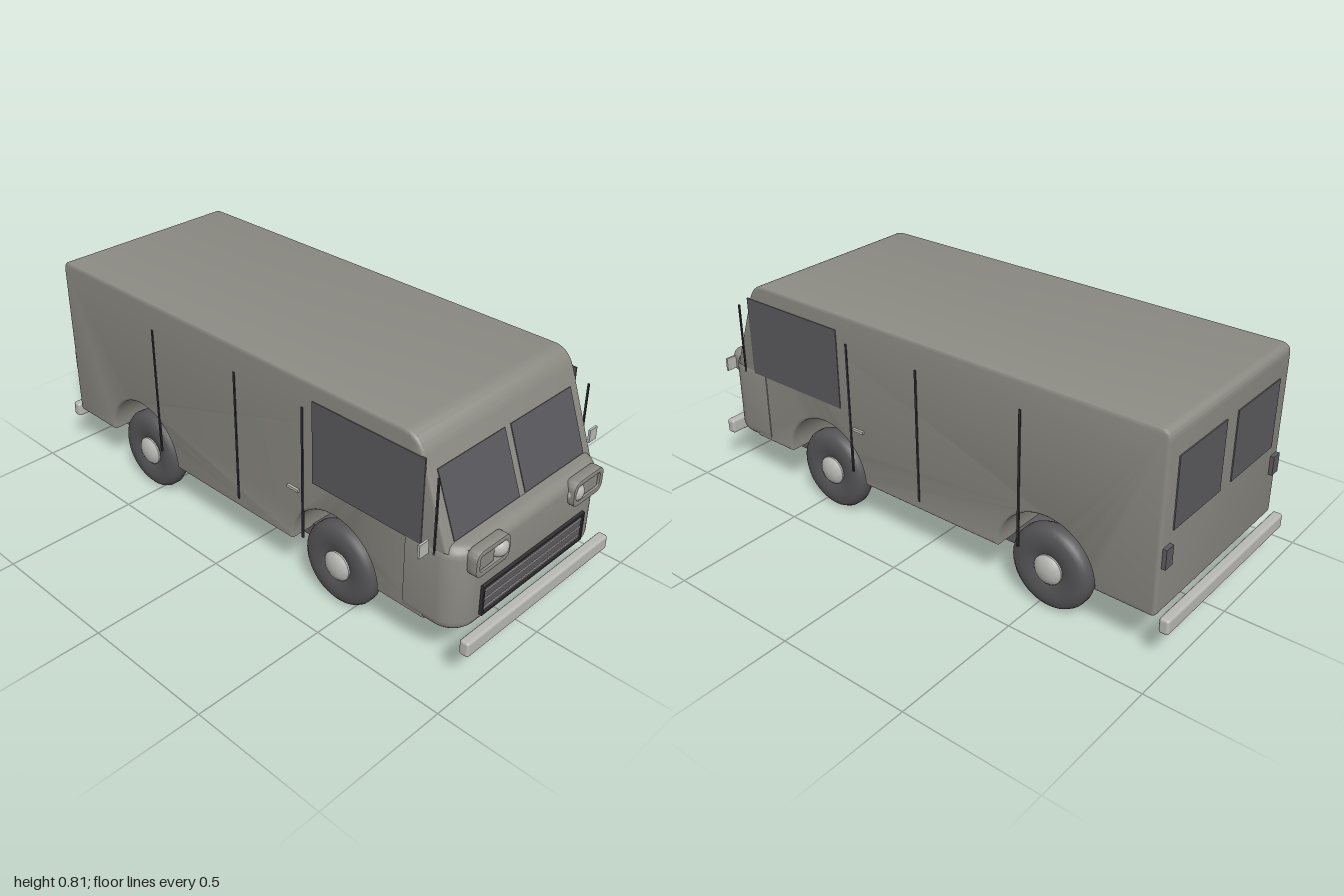
import * as THREE from 'three';
import { toCreasedNormals } from 'three/addons/utils/BufferGeometryUtils.js';
import { RoundedBoxGeometry } from 'three/addons/geometries/RoundedBoxGeometry.js';

const paint = (name, color) => {
  const m = new THREE.MeshStandardMaterial({ color });
  m.name = name;
  return m;
};

// Rounded rectangle outline centred on the origin
function roundRect(shape, w, h, r) {
  const x = w / 2, y = h / 2;
  shape.moveTo(-x + r, -y);
  shape.lineTo(x - r, -y).absarc(x - r, -y + r, r, -Math.PI / 2, 0, false);
  shape.lineTo(x, y - r).absarc(x - r, y - r, r, 0, Math.PI / 2, false);
  shape.lineTo(-x + r, y).absarc(-x + r, y - r, r, Math.PI / 2, Math.PI, false);
  shape.lineTo(-x, -y + r).absarc(-x + r, -y + r, r, Math.PI, Math.PI * 1.5, false);
  return shape;
}

export function createModel() {
  const van = new THREE.Group();
  van.name = 'van';
  const body = paint('body grey', 0x8b8a83);
  const glass = paint('dark glass', 0x5a5a5e);
  const rubber = paint('tyre rubber', 0x555557);
  const chrome = paint('pale metal', 0xb8b8b4);
  const trim = paint('chassis grey', 0x5e5b5e);
  const black = paint('seam black', 0x303033);

  const add = (name, geo, mat, x = 0, y = 0, z = 0, parent = van) => {
    const m = new THREE.Mesh(geo, mat);
    m.name = name;
    m.position.set(x, y, z);
    parent.add(m);
    return m;
  };
  const box = (name, mat, w, h, d, x, y, z) =>
    add(name, new THREE.BoxGeometry(w, h, d), mat, x, y, z);

  // Main shell: side profile with wheel arches, extruded across the width
  const axles = [-0.54, 0.44];
  const side = new THREE.Shape();
  side.moveTo(-0.93, 0.175);
  for (const x of axles) {
    side.lineTo(x - 0.19, 0.175);
    side.absarc(x, 0.175, 0.19, Math.PI, 0, true);
  }
  side.lineTo(0.82, 0.175);
  side.lineTo(0.82, 0.44);
  side.lineTo(0.895, 0.46);
  side.lineTo(0.79, 0.75);
  side.quadraticCurveTo(0.765, 0.812, 0.71, 0.812);
  side.lineTo(-0.915, 0.812);
  side.quadraticCurveTo(-0.95, 0.812, -0.95, 0.777);
  side.lineTo(-0.95, 0.195);
  side.quadraticCurveTo(-0.95, 0.175, -0.93, 0.175);
  const shell = new THREE.ExtrudeGeometry(side, {
    depth: 0.724, curveSegments: 16,
    bevelSize: 0.01, bevelThickness: 0.01, bevelOffset: -0.01, bevelSegments: 3,
  });
  shell.translate(0, 0, -0.362);
  add('bodyShell', toCreasedNormals(shell, 0.6), body);

  // Rounded nose: plan outline extruded upward
  const plan = new THREE.Shape();
  plan.moveTo(0.74, -0.375);
  plan.lineTo(0.86, -0.375);
  plan.absarc(0.86, -0.285, 0.09, -Math.PI / 2, 0, false);
  plan.absarc(0.86, 0.285, 0.09, 0, Math.PI / 2, false);
  plan.lineTo(0.74, 0.375);
  plan.closePath();
  const nose = new THREE.ExtrudeGeometry(plan, {
    depth: 0.235, curveSegments: 8,
    bevelSize: 0.04, bevelThickness: 0.04, bevelOffset: -0.04, bevelSegments: 5,
  });
  nose.rotateX(-Math.PI / 2).translate(0, 0.207, 0);
  add('nose', toCreasedNormals(nose, 0.6), body);

  // Chassis floor
  box('chassis', trim, 1.64, 0.055, 0.54, -0.03, 0.1545, 0);

  // Split windscreen, rear windows and cab side windows
  for (const s of [1, -1]) {
    const pane = box('windscreen', glass, 0.006, 0.229, 0.317, 0.847, 0.5925, s * 0.1725);
    pane.rotation.z = 0.347;
    box('rearWindow', glass, 0.006, 0.25, 0.275, -0.951, 0.585, s * 0.1725);
    box('cabWindow', glass, 0.45, 0.3, 0.006, 0.575, 0.6, s * 0.372);

    // Panel seams, handle, mirror and tail lamp
    for (const x of [-0.435, -0.01, 0.305])
      box('panelSeam', black, 0.008, 0.5, 0.006, x, 0.46, s * 0.372);
    box('cabSeam', black, 0.006, 0.27, 0.006, 0.85, 0.575, s * 0.373);
    box('doorHandle', chrome, 0.05, 0.01, 0.012, 0.265, 0.39, s * 0.375);
    box('mirror', chrome, 0.008, 0.048, 0.041, 0.855, 0.496, s * 0.4325);
    box('tailLamp', trim, 0.016, 0.07, 0.04, -0.956, 0.385, s * 0.34);
  }

  // Headlamp surrounds: rounded frame, indicator and round lamp
  const frame = roundRect(new THREE.Shape(), 0.155, 0.085, 0.025);
  frame.holes.push(roundRect(new THREE.Path(), 0.135, 0.065, 0.016));
  const frameGeo = new THREE.ExtrudeGeometry(frame, {
    depth: 0.03, curveSegments: 5, bevelSize: 0.005, bevelThickness: 0.005, bevelSegments: 2,
  });
  frameGeo.rotateY(Math.PI / 2);
  const frameSmooth = toCreasedNormals(frameGeo, 0.7);
  for (const s of [1, -1]) {
    add('headlampFrame', frameSmooth, body, 0.938, 0.432, s * 0.247);
    box('headlampBacking', trim, 0.03, 0.075, 0.145, 0.938, 0.432, s * 0.247);
    add('indicator', new RoundedBoxGeometry(0.03, 0.062, 0.075, 2, 0.008), body,
      0.952, 0.434, s * 0.272);
    add('headlamp', new THREE.SphereGeometry(0.035, 24, 16), chrome, 0.948, 0.432, s * 0.197);
  }

  // Grille: dark panel with raised border and pale slats
  box('grillePanel', trim, 0.012, 0.105, 0.525, 0.949, 0.264, 0);
  for (const s of [1, -1]) {
    box('grilleBorder', black, 0.02, 0.007, 0.532, 0.952, 0.264 + s * 0.0515, 0);
    box('grilleBorder', black, 0.02, 0.11, 0.007, 0.952, 0.264, s * 0.2625);
  }
  for (const y of [0.295, 0.262, 0.229])
    box('grilleSlat', chrome, 0.01, 0.006, 0.51, 0.953, y, 0);

  // Bumpers
  for (const s of [1, -1])
    add(s > 0 ? 'frontBumper' : 'rearBumper',
      new RoundedBoxGeometry(0.036, 0.056, 0.75, 2, 0.01), chrome, s * 0.982, 0.16, 0);

  // Wheels: lathed tyre with a domed hub, turned to face outward
  const tyreGeo = new THREE.LatheGeometry([
    [0.05, -0.041], [0.1, -0.041], [0.13, -0.038], [0.146, -0.026], [0.153, -0.012],
    [0.153, 0.012], [0.146, 0.026], [0.13, 0.038], [0.1, 0.041], [0.07, 0.037], [0.05, 0.028],
  ].map(([r, y]) => new THREE.Vector2(r, y)), 40);
  const hubGeo = new THREE.LatheGeometry([
    [0, -0.04], [0.054, -0.04], [0.054, 0.036], [0.046, 0.044], [0.03, 0.052], [0, 0.055],
  ].map(([r, y]) => new THREE.Vector2(r, y)), 28);
  const hubSmooth = toCreasedNormals(hubGeo, 0.7);
  for (const x of axles) for (const s of [1, -1]) {
    const wheel = new THREE.Group();
    wheel.name = 'wheel';
    wheel.position.set(x, 0.153, s * 0.316);
    wheel.rotation.x = s * Math.PI / 2;
    add('tyre', tyreGeo, rubber, 0, 0, 0, wheel);
    add('hub', hubSmooth, chrome, 0, 0, 0, wheel);
    van.add(wheel);
  }
  return van;
}
